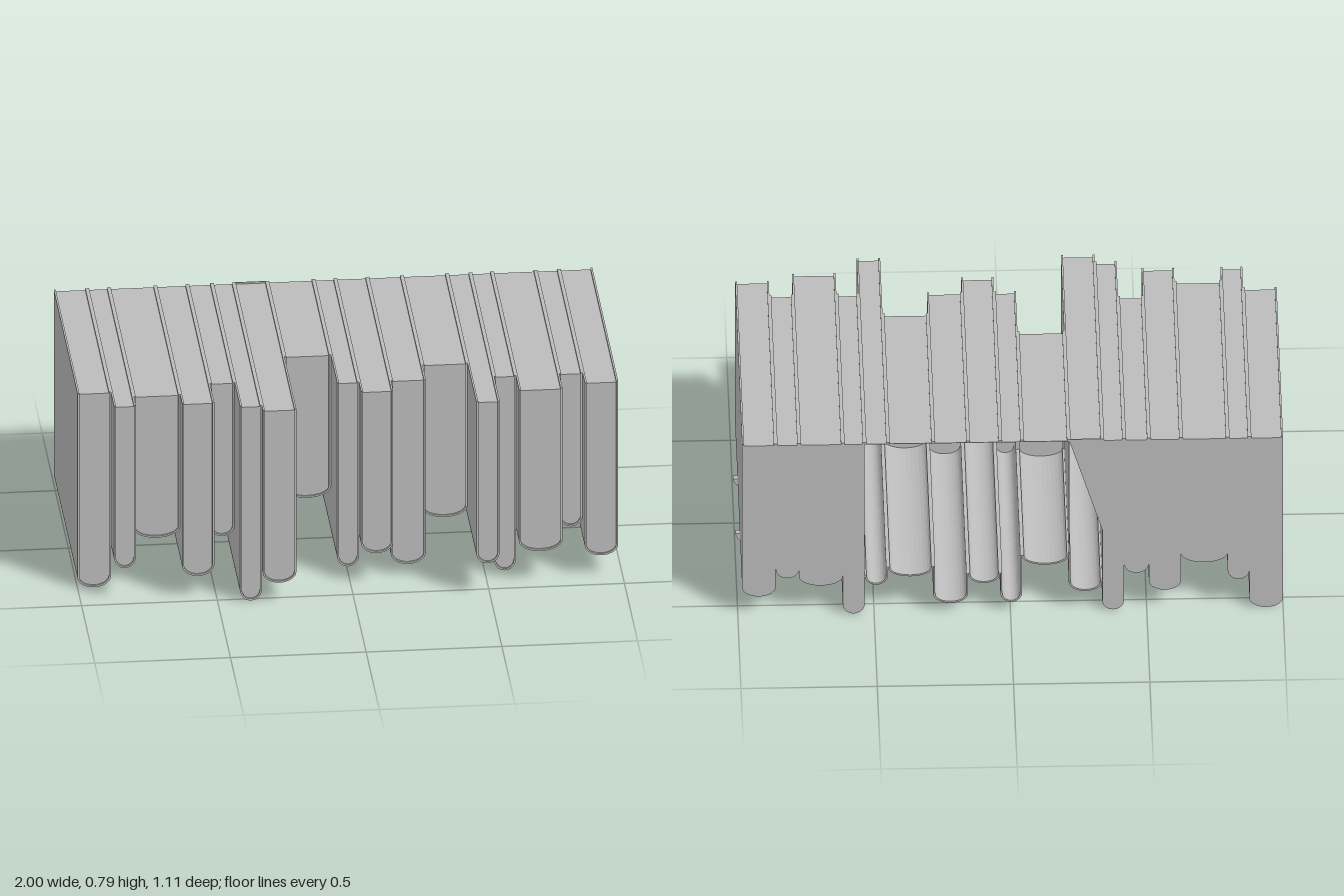
import * as THREE from 'three';

const BACK = -0.557, TOP = 0.79, PAGE_TOP = 0.783, T = 0.007, CURVE = 0.042;

// Each slab: left x, right x, lowest y, front z, kind
const SLABS = [
  [-1.0, -0.877, 0.003, 0.345, 'closed'],
  [-0.877, -0.797, 0.134, 0.47, 'closed'],
  [-0.797, -0.626, 0.214, 0.39, 'closed'],
  [-0.626, -0.508, 0.09, 0.47, 'closed'],
  [-0.508, -0.417, 0.17, 0.305, 'closed'],
  [-0.417, -0.337, 0.003, 0.515, 'closed'],
  [-0.337, -0.214, 0.09, 0.557, 'open'],
  [-0.214, -0.043, 0.214, 0.1, 'open'],
  [-0.043, 0.037, 0.045, 0.345, 'open'],
  [0.037, 0.155, 0.134, 0.43, 'open'],
  [0.155, 0.283, 0.045, 0.345, 'open'],
  [0.283, 0.449, 0.17, 0.22, 'open'],
  [0.449, 0.535, 0.134, 0.557, 'open'],
  [0.535, 0.615, 0.003, 0.345, 'closed'],
  [0.615, 0.775, 0.134, 0.47, 'closed'],
  [0.775, 0.861, 0.17, 0.345, 'closed'],
  [0.861, 0.984, 0.088, 0.43, 'closed'],
];

// Half-ellipse points running from the left side round the bottom to the right
function arc(x0, x1, yb, inset) {
  const cx = (x0 + x1) / 2, rx = (x1 - x0) / 2 - inset, ry = CURVE - inset;
  const pts = [];
  for (let i = 0; i <= 14; i++) {
    const a = Math.PI + (Math.PI * i) / 14;
    pts.push(new THREE.Vector2(cx + rx * Math.cos(a), yb + CURVE + ry * Math.sin(a)));
  }
  return pts;
}

// U-shaped band with separate heights for its two arms
function bandShape(x0, x1, yb, leftTop, rightTop) {
  const v = (x, y) => new THREE.Vector2(x, y);
  return new THREE.Shape([
    v(x0, leftTop), ...arc(x0, x1, yb, 0), v(x1, rightTop),
    v(x1 - T, rightTop), ...arc(x0, x1, yb, T).reverse(), v(x0 + T, leftTop),
  ]);
}

function blockShape(x0, x1, yb) {
  return new THREE.Shape([
    new THREE.Vector2(x0 + T, PAGE_TOP), ...arc(x0, x1, yb, T), new THREE.Vector2(x1 - T, PAGE_TOP),
  ]);
}

function extrude(shape, z0, z1) {
  return new THREE.ExtrudeGeometry(shape, { depth: z1 - z0, bevelEnabled: false }).translate(0, 0, z0);
}

function box(x0, x1, y0, y1, z0, z1) {
  return new THREE.BoxGeometry(x1 - x0, y1 - y0, z1 - z0)
    .translate((x0 + x1) / 2, (y0 + y1) / 2, (z0 + z1) / 2);
}

export function createModel() {
  const grey = new THREE.MeshStandardMaterial({ color: 0xbcbcbc, side: THREE.DoubleSide });
  grey.name = 'plain grey';
  const model = new THREE.Group();
  model.name = 'slabRow';
  const add = (parent, name, geometry) => {
    const mesh = new THREE.Mesh(geometry, grey);
    mesh.name = name;
    parent.add(mesh);
    return mesh;
  };

  SLABS.forEach(([x0, x1, yb, front, kind], i) => {
    const slab = new THREE.Group();
    slab.name = `slab${i + 1}`;
    model.add(slab);

    if (kind === 'closed') {
      add(slab, 'cover', extrude(bandShape(x0, x1, yb, TOP, TOP), BACK, front));
      add(slab, 'block', extrude(blockShape(x0, x1, yb), BACK, front - T));
      return;
    }

    // Hollow slab: top sheet, front panel, rim and rounded trough, open at the back
    const left = SLABS[i - 1], right = SLABS[i + 1];
    const armTop = (n) => Math.max(yb, n[2]) + CURVE + 0.002;
    add(slab, 'topSheet', box(x0, x1, PAGE_TOP - 0.002, PAGE_TOP, BACK, front - T));
    add(slab, 'frontPanel', extrude(blockShape(x0, x1, yb), front - T - 0.003, front - T));
    add(slab, 'frontRim', extrude(bandShape(x0, x1, yb, TOP, TOP), front - 0.015, front));
    add(slab, 'trough', extrude(bandShape(x0, x1, yb, armTop(left), armTop(right)), BACK, front - 0.015));

    // Side walls where the slab stands proud of its neighbours
    if (front > left[3]) add(slab, 'leftWall', box(x0, x0 + T, yb + CURVE, TOP, left[3] - 0.015, front));
    if (front > right[3]) add(slab, 'rightWall', box(x1 - T, x1, yb + CURVE, TOP, right[3] - 0.015, front));

    // Thin raised edges along the top
    add(slab, 'leftEdge', box(x0, x0 + T, PAGE_TOP - 0.002, TOP, BACK, front));
    add(slab, 'rightEdge', box(x1 - T, x1, PAGE_TOP - 0.002, TOP, BACK, front));
  });

  // Partial back and side panels beside the hollow section
  const backPanel = new THREE.Shape([
    new THREE.Vector2(-0.337, 0.37), new THREE.Vector2(-0.214, TOP), new THREE.Vector2(-0.337, TOP),
  ]);
  add(model, 'backPanel', extrude(backPanel, BACK, BACK + 0.003));
  const sidePanel = new THREE.Shape([
    new THREE.Vector2(-BACK, 0.25), new THREE.Vector2(-BACK, TOP),
    new THREE.Vector2(-0.1, 0.5), new THREE.Vector2(-0.1, 0.25),
  ]);
  add(model, 'sidePanel', extrude(sidePanel, -0.003, 0)).rotation.y = Math.PI / 2;
  model.children[model.children.length - 1].position.x = -0.214;

  // Curved ribs under the end slab
  for (const z of [0.115, -0.215]) {
    const rib = new THREE.Shape();
    rib.absellipse(0.9225, 0.127, 0.0775, 0.052, Math.PI, Math.PI * 2, false);
    rib.absellipse(0.9225, 0.127, 0.06, 0.036, Math.PI * 2, Math.PI, true);
    add(model, 'rib', extrude(rib, z - 0.01, z + 0.01));
  }
  return model;
}
